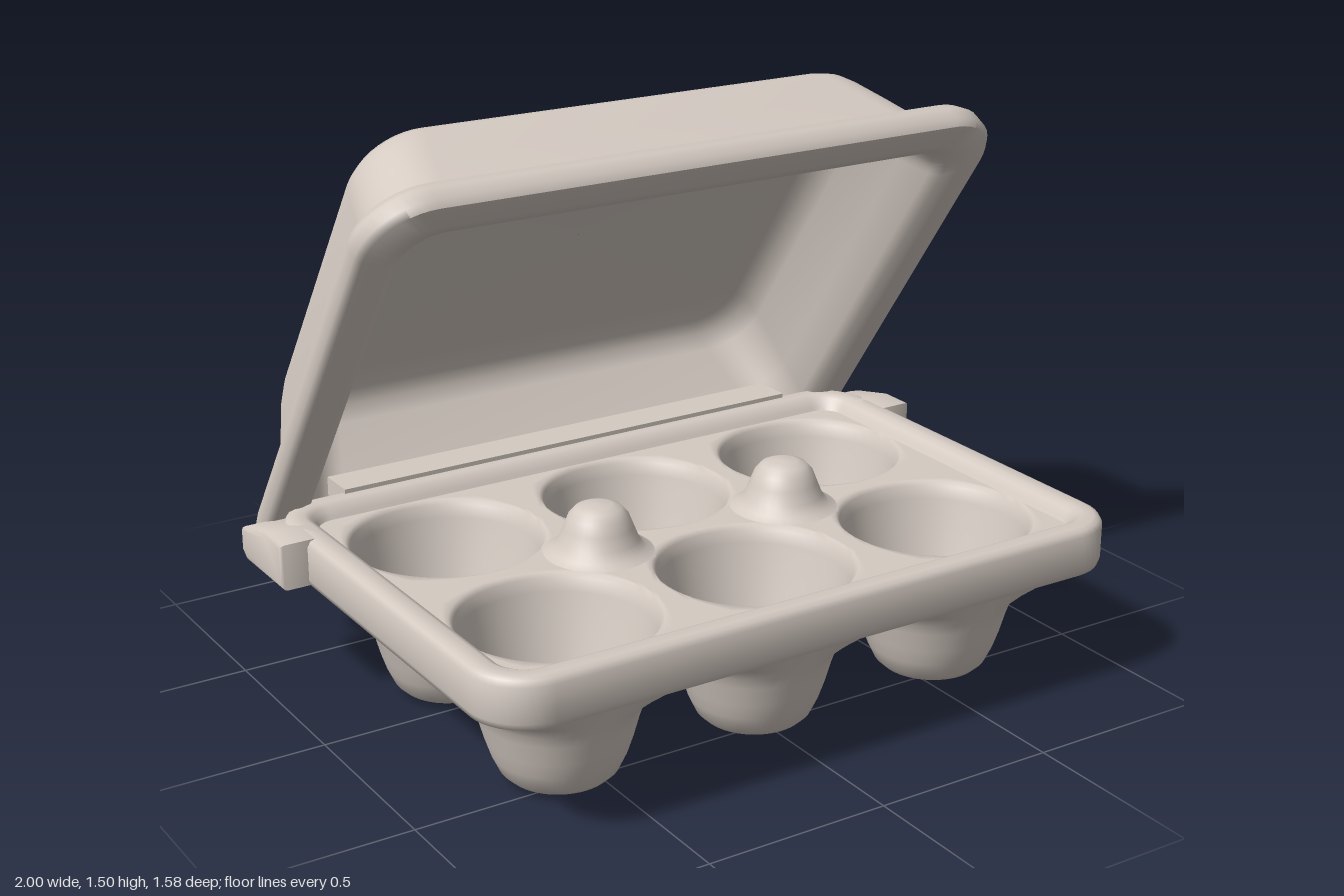
import * as THREE from 'three';
import { toCreasedNormals } from 'three/addons/utils/BufferGeometryUtils.js';

const pulp = new THREE.MeshStandardMaterial({ color: 0xd4cac2 });
pulp.name = 'moulded pulp';

const TRAY_Z = 0.16;                    // centre of the tray
const CELL_X = 0.2875, CELL_Z = 0.285;  // half size of one cup cell

// Skin a surface over closed rings of equal point counts
function loft(rings, flip = false) {
  const n = rings[0].length, pos = [], idx = [];
  rings.forEach(ring => ring.forEach(p => pos.push(...p)));
  for (let i = 0; i < rings.length - 1; i++) {
    for (let j = 0; j < n; j++) {
      const a = i * n + j, b = i * n + (j + 1) % n, c = a + n, d = b + n;
      if (flip) idx.push(a, c, b, b, c, d);
      else idx.push(a, b, c, b, d, c);
    }
  }
  const g = new THREE.BufferGeometry();
  g.setAttribute('position', new THREE.Float32BufferAttribute(pos, 3));
  g.setIndex(idx);
  return toCreasedNormals(g, 0.9);
}

// Rounded rectangle in the xz plane at height y
function roundRing(w, z0, z1, r, y) {
  const pts = [], steps = 10;
  const corners = [[w - r, z1 - r], [r - w, z1 - r], [r - w, z0 + r], [w - r, z0 + r]];
  corners.forEach(([cx, cz], k) => {
    for (let i = 0; i <= steps; i++) {
      const a = (k + i / steps) * Math.PI / 2;
      pts.push([cx + r * Math.cos(a), y, cz + r * Math.sin(a)]);
    }
  });
  return pts;
}

// Smoothly interpolated height along a profile of [distance, height]
function along(profile, d) {
  for (let i = 1; i < profile.length; i++) {
    const [d0, y0] = profile[i - 1], [d1, y1] = profile[i];
    if (d <= d1) return y0 + (y1 - y0) * (d - d0) / (d1 - d0);
  }
  return profile[profile.length - 1][1];
}

const OUTSIDE = [[0, 0], [0.1, 0.003], [0.13, 0.013], [0.15, 0.032], [0.17, 0.075], [0.185, 0.12],
  [0.2, 0.175], [0.21, 0.205], [0.225, 0.23], [0.25, 0.248], [0.285, 0.26], [0.31, 0.295], [0.35, 0.325], [0.4, 0.335]];
const INSIDE = [[0, 0.03], [0.08, 0.032], [0.12, 0.045], [0.15, 0.075], [0.17, 0.115], [0.185, 0.16],
  [0.2, 0.215], [0.225, 0.31], [0.242, 0.38], [0.25, 0.415], [0.26, 0.427]];
const RADII = [0, 0.06, 0.1, 0.12, 0.13, 0.15, 0.17, 0.185, 0.2, 0.21, 0.225, 0.242, 0.25, 0.26];

// One square cell around a cup; height(x, z, d) gives the surface
function cupCell(cx, cz, height, flip) {
  const edge = [], n = 16;
  const sides = [[1, -1, 0, 1], [1, 1, -1, 0], [-1, 1, 0, -1], [-1, -1, 1, 0]];
  for (const [sx, sz, dx, dz] of sides) {
    for (let i = 0; i < n; i++) {
      edge.push([(sx + dx * 2 * i / n) * CELL_X, (sz + dz * 2 * i / n) * CELL_Z]);
    }
  }
  const at = (x, z) => [cx + x, height(cx + x, cz + z, Math.hypot(x, z)), cz + z];
  const rings = RADII.map(r => edge.map(([x, z]) => {
    const l = Math.hypot(x, z);
    return at(x * r / l, z * r / l);
  }));
  for (const t of [0.2, 0.4, 0.6, 0.8, 1]) {
    rings.push(edge.map(([x, z]) => {
      const l = Math.hypot(x, z), s = (0.26 + (l - 0.26) * t) / l;
      return at(x * s, z * s);
    }));
  }
  return loft(rings, flip);
}

// Underside rises to meet the rim along the tray edges
function underside(x, z, d) {
  const y = along(OUTSIDE, d);
  const k = Math.max(THREE.MathUtils.smoothstep(Math.abs(x), 0.785, 0.86),
    THREE.MathUtils.smoothstep(Math.abs(z - TRAY_Z), 0.495, 0.568));
  return y + (0.335 - y) * k;
}

export function createModel() {
  const root = new THREE.Group();
  root.name = 'eggCarton';
  const add = (parent, name, geometry) => {
    const m = new THREE.Mesh(geometry, pulp);
    m.name = name;
    parent.add(m);
    return m;
  };

  // Tray of six cups
  const tray = new THREE.Group();
  tray.name = 'tray';
  root.add(tray);
  for (const col of [-1, 0, 1]) {
    for (const row of [-1, 1]) {
      const x = col * CELL_X * 2, z = TRAY_Z + row * CELL_Z;
      add(tray, 'cupInside', cupCell(x, z, (px, pz, d) => along(INSIDE, d), false));
      add(tray, 'cupOutside', cupCell(x, z, underside, true));
    }
  }

  // Rim around the tray: [inset, height]
  const rim = [[0.095, 0.42], [0.085, 0.437], [0.072, 0.458], [0.055, 0.466], [0.022, 0.466], [0.008, 0.46],
    [0, 0.446], [0, 0.355], [0.006, 0.338], [0.02, 0.331], [0.12, 0.333]];
  add(tray, 'trayRim', loft(rim.map(([i, y]) =>
    roundRing(0.927 - i, TRAY_Z - 0.637 + i, TRAY_Z + 0.637 - i, Math.max(0.03, 0.15 - i), y))));

  // Two posts between the cups
  const postProfile = [[0.15, 0.424], [0.122, 0.437], [0.104, 0.46], [0.09, 0.495], [0.078, 0.525],
    [0.06, 0.545], [0.035, 0.554], [0, 0.556]].map(p => new THREE.Vector2(...p));
  for (const s of [-1, 1]) {
    add(tray, 'post', new THREE.LatheGeometry(postProfile, 32)).position.set(s * CELL_X, 0, TRAY_Z);
  }

  // Side tabs near the hinge, drawn in side profile
  const tabShape = new THREE.Shape([[0.225, 0.355], [0.44, 0.355], [0.46, 0.37], [0.46, 0.415],
    [0.43, 0.425], [0.31, 0.452], [0.225, 0.452]].map(p => new THREE.Vector2(...p)));
  const tabGeo = toCreasedNormals(new THREE.ExtrudeGeometry(tabShape,
    { depth: 0.11, bevelSize: 0.014, bevelThickness: 0.014, bevelSegments: 3 }).rotateY(Math.PI / 2), 0.9);
  add(tray, 'leftTab', tabGeo).position.x = 0.876;
  add(tray, 'rightTab', tabGeo).position.x = -0.986;

  // Hinge strip joining tray and lid
  add(root, 'hinge', new THREE.BoxGeometry(1.42, 0.08, 0.11)).position.set(0, 0.438, -0.5);

  // Open lid, from panel centre over the rim to the inside: [half width, back, front, corner, height]
  const lid = new THREE.Group();
  lid.name = 'lid';
  lid.position.set(0, 0.25, -0.57);
  lid.rotation.x = -0.955;
  root.add(lid);
  const shell = [
    [0.001, 0.769, 0.771, 0.001, 0.375], [0.62, 0.4, 1.14, 0.05, 0.375], [0.645, 0.37, 1.165, 0.07, 0.38],
    [0.665, 0.34, 1.185, 0.09, 0.398], [0.7, 0.27, 1.215, 0.12, 0.407], [0.735, 0.2, 1.25, 0.15, 0.397],
    [0.762, 0.16, 1.275, 0.17, 0.37], [0.78, 0.13, 1.29, 0.17, 0.33], [0.805, 0.09, 1.315, 0.17, 0.25],
    [0.835, 0.05, 1.345, 0.17, 0.15], [0.85, 0.03, 1.36, 0.17, 0.115], [0.88, 0, 1.385, 0.17, 0.1],
    [0.915, -0.02, 1.425, 0.17, 0.085], [0.928, -0.025, 1.437, 0.17, 0.06], [0.929, -0.012, 1.44, 0.17, 0.02],
    [0.915, 0.01, 1.428, 0.16, 0.002], [0.85, 0.07, 1.36, 0.13, 0], [0.815, 0.105, 1.325, 0.11, 0.012],
    [0.797, 0.12, 1.308, 0.11, 0.04], [0.77, 0.15, 1.28, 0.12, 0.13], [0.735, 0.19, 1.245, 0.13, 0.28],
    [0.71, 0.21, 1.22, 0.13, 0.325], [0.67, 0.25, 1.18, 0.12, 0.347], [0.6, 0.34, 1.12, 0.1, 0.352],
    [0.001, 0.769, 0.771, 0.001, 0.352],
  ];
  add(lid, 'lidShell', loft(shell.map(r => roundRing(...r))));

  return root;
}
